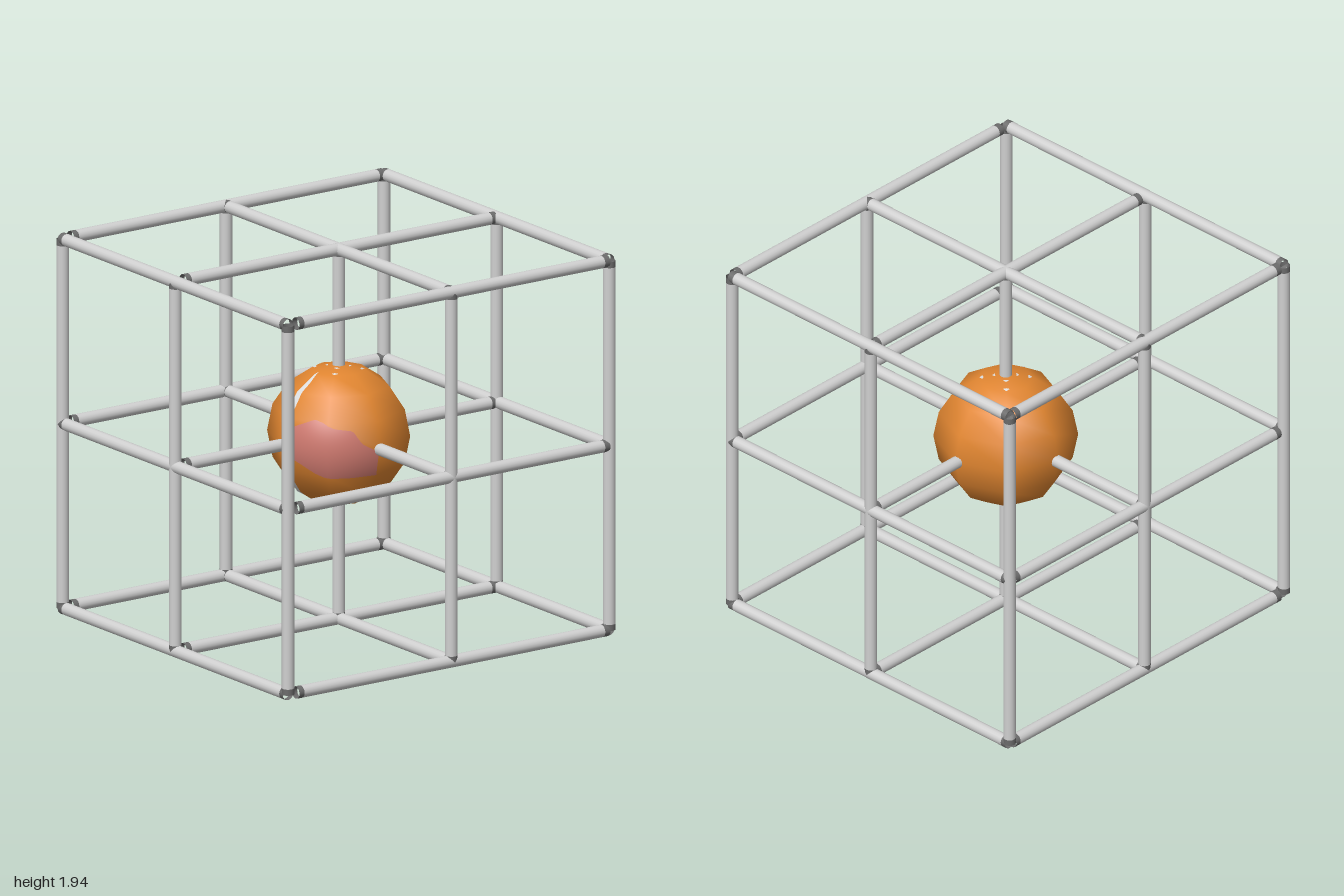
import * as THREE from 'three';

const RADIUS = 0.031, HALF = 0.938, MID_Y = 0.969, MID_X = 0.016;
const BALL = 0.354;

// Point on the faceted ball: u counts the 8 sides, v the 8 rings from the top
function onBall(u, v, lift) {
  const corner = (i, j) => {
    const a = i * Math.PI / 4, b = j * Math.PI / 8;
    return new THREE.Vector3(-Math.cos(a) * Math.sin(b), Math.cos(b), Math.sin(a) * Math.sin(b));
  };
  const i = Math.floor(u), j = Math.floor(v);
  const top = corner(i, j).lerp(corner(i + 1, j), u - i);
  const low = corner(i, j + 1).lerp(corner(i + 1, j + 1), u - i);
  return top.lerp(low, v - j).multiplyScalar(BALL * lift);
}

// Thin patch on the ball, from rows of [u, vTop, vBottom]
function patch(rows, name, material, lift = 1.008) {
  const cols = 32, steps = 16, pos = [], nor = [], index = [];
  const first = rows[0][0], last = rows[rows.length - 1][0];
  for (let c = 0; c <= cols; c++) {
    const u = first + (last - first) * c / cols;
    let k = 0;
    while (k < rows.length - 2 && u > rows[k + 1][0]) k++;
    const [a, b] = [rows[k], rows[k + 1]];
    const t = (u - a[0]) / (b[0] - a[0]);
    for (let s = 0; s <= steps; s++) {
      const v = THREE.MathUtils.lerp(
        THREE.MathUtils.lerp(a[1], b[1], t), THREE.MathUtils.lerp(a[2], b[2], t), s / steps);
      const p = onBall(u, v, lift);
      pos.push(p.x, p.y, p.z);
      p.normalize();
      nor.push(p.x, p.y, p.z);
      if (c < cols && s < steps) {
        const n = c * (steps + 1) + s, m = n + steps + 1;
        index.push(n, n + 1, m, m, n + 1, m + 1);
      }
    }
  }
  const g = new THREE.BufferGeometry();
  g.setAttribute('position', new THREE.Float32BufferAttribute(pos, 3));
  g.setAttribute('normal', new THREE.Float32BufferAttribute(nor, 3));
  g.setIndex(index);
  const mesh = new THREE.Mesh(g, material);
  mesh.name = name;
  return mesh;
}

export function createModel() {
  const steel = new THREE.MeshStandardMaterial({ color: 0xd0d0d0 });
  const darkSteel = new THREE.MeshStandardMaterial({ color: 0x6c6c6c, side: THREE.DoubleSide });
  const orange = new THREE.MeshStandardMaterial({ color: 0xe08530 });
  const pink = new THREE.MeshStandardMaterial({ color: 0xd07a70 });
  const white = new THREE.MeshStandardMaterial({ color: 0xdcdcdc });

  const model = new THREE.Group();
  model.name = 'ballInLattice';

  // Open rod with a darker collar at each end
  const shaft = new THREE.CylinderGeometry(RADIUS, RADIUS, 2 * (HALF - RADIUS), 16, 1, true);
  const collar = new THREE.CylinderGeometry(RADIUS, RADIUS, RADIUS, 16, 1, true);
  function rod(axis, x, y, z) {
    const g = new THREE.Group();
    g.name = axis + 'Rod';
    const body = new THREE.Mesh(shaft, steel);
    body.name = 'rodShaft';
    g.add(body);
    for (const s of [-1, 1]) {
      const end = new THREE.Mesh(collar, darkSteel);
      end.name = 'rodEnd';
      end.position.y = s * (HALF - RADIUS / 2);
      g.add(end);
    }
    if (axis === 'cross') g.rotation.z = Math.PI / 2;
    if (axis === 'depth') g.rotation.x = Math.PI / 2;
    g.position.set(x, y, z);
    model.add(g);
  }

  // Three by three rods in each direction
  const xs = [-0.969, MID_X, 0.969];
  const offsets = [-HALF, 0, HALF];
  for (const a of offsets) {
    for (const b of offsets) rod('cross', MID_X, MID_Y + a, b);
    for (const x of xs) {
      rod('upright', x, MID_Y, a);
      rod('depth', x, MID_Y + a, 0);
    }
  }

  // Low-poly, smoothly shaded ball
  const ball = new THREE.Group();
  ball.name = 'ball';
  ball.position.set(MID_X, MID_Y + 0.003, 0);
  const core = new THREE.Mesh(new THREE.SphereGeometry(BALL, 8, 8), orange);
  core.name = 'ballBody';
  ball.add(core);

  // Pink patch on the front
  ball.add(patch([
    [0.14, 3.5, 4.2], [0.26, 3.26, 4.5], [0.7, 2.9, 4.9], [0.9, 2.98, 5.0], [1.14, 3.19, 5.06],
    [1.49, 3.3, 5.08], [1.66, 3.78, 5.05], [1.96, 4.1, 5.0],
  ], 'pinkPatch', pink));

  // Pale streaks along one side
  ball.add(patch([[0.01, 1.1, 2.9], [0.08, 0.9, 3.1], [0.15, 1.5, 2.7]], 'upperStreak', white));
  ball.add(patch([[0.01, 5.2, 6.1], [0.06, 4.9, 6.3], [0.1, 5.3, 6.0]], 'lowerStreak', white));

  // Pale flecks around both poles
  for (const u of [1, 3, 5, 7]) {
    for (const flip of [false, true]) {
      for (const [size, near, far] of [[0.17, 0.8, 0.95], [0.3, 0.38, 0.48]]) {
        const [top, low] = flip ? [8 - far, 8 - near] : [near, far];
        const mid = (top + low) / 2;
        ball.add(patch([[u - size, mid - 0.02, mid + 0.02], [u, top, low],
          [u + size, mid - 0.02, mid + 0.02]], 'poleFleck', white));
      }
    }
  }
  model.add(ball);
  return model;
}
